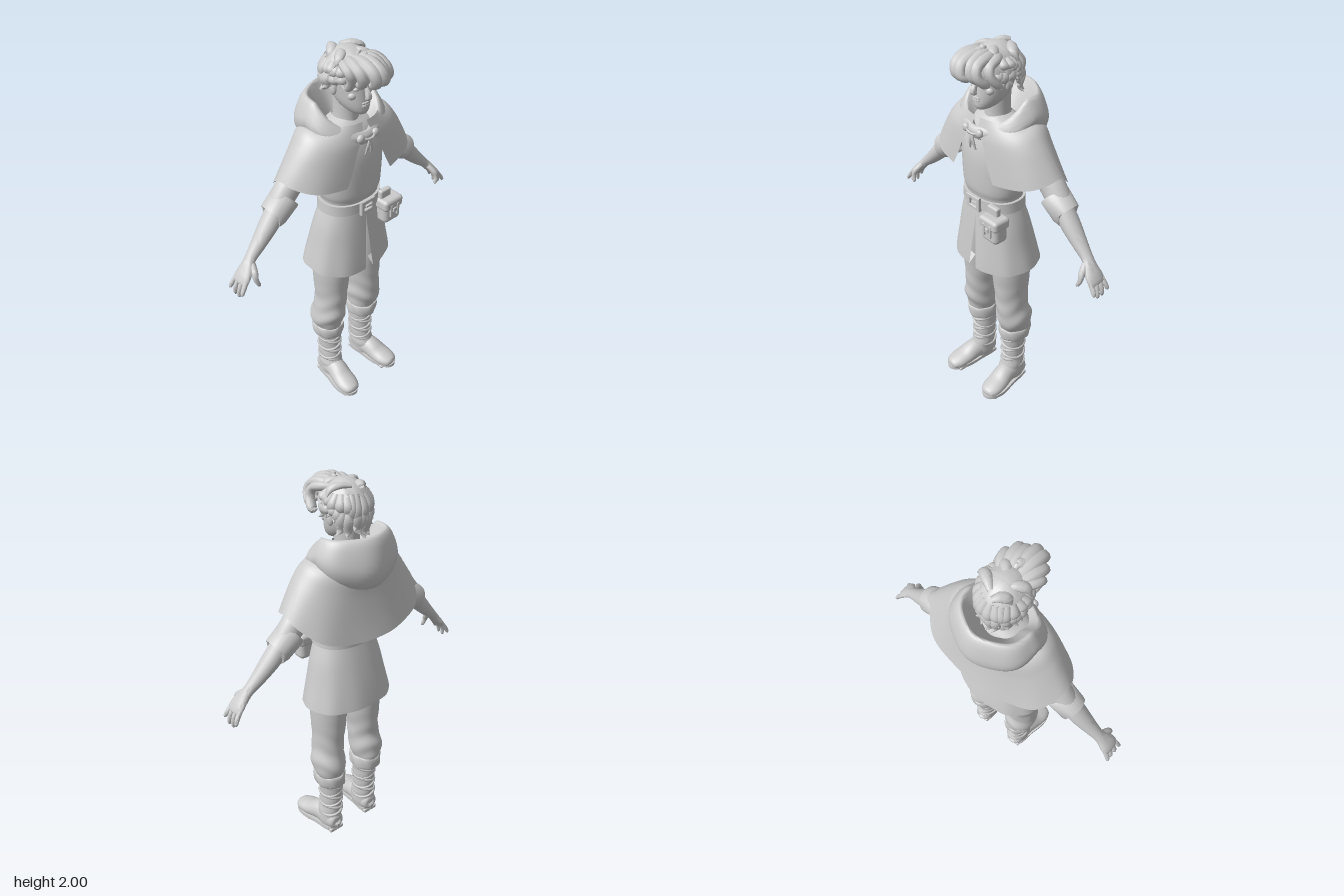
import * as THREE from 'three';
import { toCreasedNormals } from 'three/addons/utils/BufferGeometryUtils.js';
import { RoundedBoxGeometry } from 'three/addons/geometries/RoundedBoxGeometry.js';
import { ParametricGeometry } from 'three/addons/geometries/ParametricGeometry.js';

const clay = new THREE.MeshStandardMaterial({ color: 0xcccccc, side: THREE.DoubleSide });
clay.name = 'light grey';

// Smooth interpolation of number rows, t in 0..1
function sample(rows, t) {
  const n = rows.length - 1, f = Math.min(Math.max(t, 0), 1) * n;
  const i = Math.min(Math.floor(f), n - 1), k = f - i;
  const p = rows[Math.max(i - 1, 0)], a = rows[i], b = rows[i + 1], q = rows[Math.min(i + 2, n)];
  return a.map((v, j) => v + 0.5 * k * (b[j] - p[j]
    + k * (2 * p[j] - 5 * v + 4 * b[j] - q[j] + k * (3 * (v - b[j]) + q[j] - p[j]))));
}
const bend = (v, p) => Math.sign(v) * Math.abs(v) ** p;
const surface = (fn, n, m, crease = 0.9) => {
  const g = new ParametricGeometry(fn, n, m);
  g.deleteAttribute('uv');
  return toCreasedNormals(g, crease);
};

// Upright loft, rows bottom to top: [yFront, ySide, yBack, centreX, radiusX, zFront, zBack, gap]
const row = (y, cx, rx, zf, zb, gap = 0) => [y, y, y, cx, rx, zf, zb, gap];
function loft(rows, { n = 40, m = rows.length * 4, pow = 1, ripple = () => 0 } = {}) {
  return surface((u, v, out) => {
    const [yf, ys, yb, cx, rx, zf, zb, gap] = sample(rows, v);
    const a = gap + u * (2 * Math.PI - 2 * gap), c = Math.cos(a);
    const y = ys + (c > 0 ? (yf - ys) * c : (ys - yb) * c);
    const k = 1 + ripple(a, y);
    out.set(cx + rx * k * bend(Math.sin(a), pow), y, (zf + zb) / 2 + (zf - zb) / 2 * k * bend(c, pow));
  }, n, m);
}

// Tapered limb along a path, rows: [x, y, z, radius along ref, radius across]
const X = new THREE.Vector3(1, 0, 0), Z = new THREE.Vector3(0, 0, 1);
function limb(rows, ref = Z, n = 14, m = rows.length * 4) {
  return surface((u, v, out) => {
    const s = sample(rows, v), p = sample(rows, v - 0.01), q = sample(rows, v + 0.01);
    const T = new THREE.Vector3(q[0] - p[0], q[1] - p[1], q[2] - p[2]).normalize();
    const A = ref.clone().addScaledVector(T, -ref.dot(T)).normalize();
    const B = T.clone().cross(A), a = u * 2 * Math.PI;
    out.set(s[0], s[1], s[2]).addScaledVector(A, s[3] * Math.cos(a)).addScaledVector(B, s[4] * Math.sin(a));
  }, n, m, 1.1);
}
// Pointed strand: thick at the root, tip closed
const strand = (pts, r, flat = 0.6, ref = X, tip = 0.05) => limb(pts.map((p, i) => {
  const k = i === 0 ? 0.6 : i === pts.length - 1 ? tip : 1 - 0.3 * i / pts.length;
  return [...p, r * k, r * k * flat];
}), ref, 9);

export function createModel() {
  const model = new THREE.Group();
  model.name = 'cloakedTraveller';
  const add = (name, geometry, parent = model) => {
    const mesh = new THREE.Mesh(geometry, clay);
    mesh.name = name;
    parent.add(mesh);
    return mesh;
  };
  const group = name => {
    const g = new THREE.Group();
    g.name = name;
    model.add(g);
    return g;
  };
  const ball = (name, parent, r, pos, scale = [1, 1, 1]) => {
    const b = add(name, new THREE.SphereGeometry(r, 18, 12), parent);
    b.position.set(...pos);
    b.scale.set(...scale);
  };

  // Tunic, with a slit skirt
  add('tunicBody', loft([row(1.18, 0, .155, .13, -.095), row(1.25, 0, .155, .135, -.1), row(1.3, 0, .168, .145, -.11),
    row(1.45, 0, .18, .145, -.12), row(1.55, 0, .19, .125, -.12), row(1.62, 0, .14, .09, -.1), row(1.66, 0, .06, .05, -.07)], { pow: .9 }));
  add('tunicSkirt', loft([[.87, .89, .89, 0, .2, .13, -.14, .1], [.84, .86, .865, 0, .238, .168, -.175, .08],
    [.85, .87, .875, 0, .24, .172, -.177, .07], row(.98, 0, .215, .16, -.155, .04), row(1.1, 0, .19, .147, -.125, .012),
    row(1.19, 0, .162, .136, -.1)], { n: 56, pow: .87, ripple: (a, y) => .012 * Math.sin(9 * a) * (1.19 - y) * 3 }));

  // Belt, buckle and pouch
  const belt = group('belt');
  add('beltBand', loft([row(1.19, 0, .15, .12, -.09), row(1.19, 0, .172, .146, -.108),
    row(1.245, 0, .168, .146, -.108), row(1.245, 0, .15, .12, -.09)], { m: 3, pow: .9 }), belt);
  const frame = new THREE.Shape([[-.042, -.035], [.042, -.035], [.042, .035], [-.042, .035]].map(p => new THREE.Vector2(...p)));
  frame.holes.push(new THREE.Path([[-.026, -.02], [-.026, .02], [.026, .02], [.026, -.02]].map(p => new THREE.Vector2(...p))));
  add('buckleFrame', new THREE.ExtrudeGeometry(frame, { depth: .014, bevelSize: .003, bevelThickness: .003, bevelSegments: 1 }), belt)
    .position.set(-.003, 1.218, .143);
  add('bucklePin', new THREE.BoxGeometry(.045, .01, .012), belt).position.set(.01, 1.218, .154);
  const pouch = group('pouch');
  const block = (name, size, pos, r = .015) => add(name, new RoundedBoxGeometry(...size, 3, r), pouch).position.set(...pos);
  block('pouchBag', [.112, .13, .085], [.143, 1.135, .15], .025);
  block('pouchFlap', [.124, .06, .1], [.143, 1.178, .15], .018);
  block('pouchLoop', [.07, .07, .03], [.128, 1.215, .138], .01);
  for (const x of [.12, .165]) block('pouchStrap', [.014, .07, .012], [x, 1.145, .197], .004);
  block('pouchClasp', [.024, .026, .014], [.143, 1.147, .198], .004);

  // Cape, open at the front and longer at the back
  add('cape', loft([[1.38, 1.45, 1.28, 0, .383, .166, -.226, .3], [1.45, 1.51, 1.38, 0, .345, .16, -.205, .24],
    [1.55, 1.59, 1.5, 0, .29, .15, -.185, .17], [1.6, 1.65, 1.6, 0, .235, .142, -.175, .1],
    row(1.67, 0, .15, .12, -.15, .05)], { n: 64, pow: .82, ripple: (a, y) => .03 * Math.sin(8 * a + 1) * Math.max(0, 1.55 - y) * 2 }));
  // Lowered hood, rolled around the neck
  add('hood', loft([[1.56, 1.61, 1.55, 0, .15, .12, -.15, 0], [1.57, 1.63, 1.535, 0, .205, .142, -.205, 0],
    [1.6, 1.68, 1.62, 0, .222, .152, -.236, 0], [1.62, 1.735, 1.73, 0, .198, .145, -.215, 0],
    [1.63, 1.765, 1.775, 0, .17, .132, -.185, 0], [1.62, 1.735, 1.745, 0, .145, .12, -.16, 0],
    [1.57, 1.63, 1.62, 0, .085, .085, -.09, 0]], { n: 56, ripple: a => .02 * Math.sin(6 * a + 2) }));
  // Clasp and cord ends
  const clasp = group('clasp');
  for (const x of [-.05, .042]) ball('claspButton', clasp, .021, [x, 1.607, .148], [1, 1, .75]);
  add('claspCord', limb([[-.05, 1.607, .152, .006, .006], [0, 1.597, .162, .006, .006], [.042, 1.607, .152, .006, .006]]), clasp);
  for (const x of [-.022, .016])
    add('cordEnd', strand([[0, 1.6, .158], [x * .5, 1.56, .158], [x, 1.515, .15]], .011, .6, X, .5), clasp);

  // Head and face
  const head = group('head');
  add('neck', loft([row(1.58, 0, .075, .07, -.085), row(1.66, 0, .058, .06, -.07), row(1.79, 0, .058, .06, -.07)]), head);
  add('skull', loft([row(1.703, 0, .002, .1, .08), row(1.708, 0, .032, .122, .04), row(1.73, 0, .056, .131, -.02),
    row(1.765, 0, .073, .13, -.06), row(1.81, 0, .082, .125, -.085), row(1.84, 0, .086, .122, -.095), row(1.88, 0, .089, .13, -.1),
    row(1.93, 0, .083, .118, -.095), row(1.97, 0, .05, .075, -.06), row(1.985, 0, .001, .01, 0)]), head);
  add('nose', limb([[0, 1.855, .118, .007, .01], [0, 1.83, .13, .009, .013], [0, 1.799, .143, .015, .016],
    [0, 1.788, .134, .014, .008], [0, 1.786, .12, .001, .001]], X), head);
  for (const [name, y, r] of [['upperLip', 1.764, .006], ['lowerLip', 1.753, .007]])
    add(name, limb([[-.028, y, .114, .001, .001], [-.012, y + .001, .129, r, r], [.012, y + .001, .129, r, r], [.028, y, .114, .001, .001]]), head);
  for (const s of [1, -1]) {
    ball('eye', head, .016, [s * .036, 1.834, .105], [1.15, .6, .7]);
    add('brow', limb([[s * .012, 1.847, .127, .003, .003], [s * .035, 1.857, .122, .008, .006],
      [s * .055, 1.858, .104, .007, .005], [s * .07, 1.848, .085, .001, .001]]), head);
    ball('cheek', head, .025, [s * .045, 1.8, .089], [1, .8, .8]);
    ball('ear', head, .03, [s * .088, 1.822, .008], [.4, 1.1, .7]);
  }

  // Wavy hair: a cap, hanging locks and a forward sweep
  const hair = group('hair');
  add('hairCap', surface((u, v, out) => {
    const a = u * 2 * Math.PI, c = Math.cos(a);
    const hem = 1.86 + (c > 0 ? .05 : .1) * c;
    const y = hem + (1.997 - hem) * Math.sin(v * Math.PI / 2);
    const f = Math.sqrt(Math.max(0, 1 - ((y - 1.87) / .127) ** 2)) * (1 + .045 * Math.sin(9 * a + 9 * v) * (1 - v));
    out.set(.113 * f * Math.sin(a), y, .008 + f * c * (c > 0 ? .135 : .127));
  }, 60, 20), hair);
  for (let i = 0; i < 34; i++) {
    const layer = i % 2, a = .95 + (i / 33) * (2 * Math.PI - 1.9), c = Math.cos(a), s = Math.sin(a), w = .025 * Math.sin(i * 2.4);
    const top = 1.91 + layer * .035, end = (c > 0 ? 1.83 : 1.83 + .075 * c) + layer * .05 + w * .5;
    const at = (r, y, d) => [r * Math.sin(a + d), y, r * 1.08 * Math.cos(a + d)];
    add('hairLock', strand([at(.085, top, 0), at(.111, top * .55 + end * .45, w * 3), at(.1, end + .022, w * 5),
      at(.113 + .4 * Math.abs(w), end, w * 9)], .025, .6, new THREE.Vector3(c, 0, -s)), hair);
  }
  for (const [x, reach, drop, r] of [[-.095, .125, 1.845, .028], [-.07, .17, 1.87, .034], [-.035, .215, 1.875, .036], [0, .222, 1.885, .034],
    [.03, .195, 1.875, .035], [.06, .185, 1.86, .034], [.09, .135, 1.85, .03]])
    add('fringeLock', strand([[x * .5, 1.955, .03], [x * .85, 1.968 - x * x * 2, reach * .6], [x, 1.945 - x * x, reach * .93],
      [x + .012, 1.9, reach], [x + .025, drop, reach - .035], [x + .012, drop + .004, reach - .058]], r, .75), hair);
  for (const [x, z, l] of [[-.05, .02, -.1], [.03, .05, .09], [.06, -.03, .11], [-.03, -.06, -.08], [0, .1, -.05]])
    add('crownLock', strand([[x * .3, 1.975, z - .03], [x, 1.979, z], [x + l * .35, 1.965, z + .02], [x + l * .6, 1.93, z + .015]], .026, .6, Z), hair);

  for (const s of [1, -1]) {
    const side = s > 0 ? 'left' : 'right';
    const flip = rows => rows.map(([x, ...rest]) => [s * x, ...rest]);

    // Arm with rolled sleeve
    const arm = group(side + 'Arm');
    add('sleeve', limb(flip([[.15, 1.57, -.02, .07, .075], [.25, 1.495, -.03, .068, .072], [.3, 1.435, -.033, .067, .06],
      [.35, 1.38, -.033, .06, .062], [.41, 1.31, -.032, .058, .056]]), Z, 20), arm);
    add('sleeveCuff', limb(flip([[.355, 1.35, -.032, .05, .05], [.352, 1.352, -.032, .07, .062], [.36, 1.346, -.032, .075, .068],
      [.435, 1.287, -.03, .07, .066], [.446, 1.28, -.03, .063, .06], [.44, 1.285, -.03, .04, .04]]), Z, 22, 5), arm);
    add('forearm', limb(flip([[.41, 1.31, -.03, .05, .048], [.47, 1.245, -.026, .049, .044], [.54, 1.175, -.02, .038, .034],
      [.595, 1.125, -.014, .03, .025], [.625, 1.092, -.006, .04, .023], [.655, 1.058, -.002, .05, .02],
      [.674, 1.032, -.002, .044, .014], [.679, 1.026, -.002, .002, .002]]), Z, 20), arm);
    [[.038, .99], [.012, .967], [-.016, .965], [-.043, .985]].forEach(([z, tip], i) =>
      add('finger', limb(flip([[.655, 1.06, z * .9, .011, .011], [.68, 1.025, z, .012, .012], [.692, (1.025 + tip) / 2, z * 1.1, .0105, .0105],
        [.697 - i % 3 * .002, tip + .006, z * 1.15, .008, .008], [.697, tip, z * 1.15, .001, .001]]), Z, 9), arm));
    add('thumb', limb(flip([[.602, 1.112, .012, .014, .014], [.618, 1.08, .045, .017, .016], [.622, 1.05, .058, .012, .012],
      [.612, 1.022, .064, .009, .009], [.61, 1.015, .064, .001, .001]]), Z, 10), arm);

    // Trousers, bunched at the knee
    const leg = group(side + 'Leg');
    const up = rows => rows.map(([y, x, ...r]) => row(y, s * x, ...r));
    add('trouserLeg', loft(up([[.37, .128, .06, .055, -.075], [.41, .13, .075, .07, -.1], [.45, .133, .085, .083, -.107],
      [.5, .131, .088, .096, -.104], [.56, .125, .081, .097, -.088], [.63, .12, .08, .1, -.088], [.72, .116, .088, .105, -.094],
      [.82, .114, .094, .114, -.1], [.96, .108, .096, .114, -.1], [1.12, .08, .08, .09, -.08]]),
    { ripple: (a, y) => .035 * Math.sin(y * 55 + 2 * Math.sin(a * 2 + s)) * Math.max(0, Math.min(1, (.75 - y) * 5)) }), leg);
    // Boot: fur-like cuff, shaft, wrapped laces, foot and sole
    const boot = group(side + 'Boot');
    add('bootCuff', loft(up([[.35, .125, .055, .05, -.08], [.338, .126, .074, .07, -.1], [.36, .128, .082, .078, -.106],
      [.395, .129, .082, .08, -.107], [.412, .129, .075, .074, -.1], [.4, .129, .06, .06, -.08]]),
    { ripple: (a, y) => .035 * Math.sin(7 * a + y * 40) }), boot);
    add('bootShaft', loft(up([[.03, .125, .056, .07, -.074], [.1, .124, .06, .078, -.075], [.16, .12, .056, .056, -.074],
      [.25, .118, .058, .052, -.08], [.35, .122, .065, .058, -.085]]),
    { ripple: (a, y) => .03 * Math.sin(y * 90 + 2 * Math.sin(a)) }), boot);
    for (let i = 0; i < 6; i++) {
      const lace = add('bootLace', new THREE.TorusGeometry(.061, .0065, 6, 32), boot);
      lace.position.set(s * .12, .135 + i * .035, -.012);
      lace.rotation.set(Math.PI / 2, (i % 2 ? .3 : -.3), 0);
      lace.scale.set(1, 1.1, 1.2);
    }
    add('bootFoot', limb(flip([[.125, .06, -.079, .002, .002], [.125, .06, -.07, .042, .045], [.126, .068, -.01, .056, .062],
      [.133, .072, .06, .056, .06], [.143, .054, .125, .06, .046], [.15, .045, .18, .058, .036], [.154, .038, .22, .038, .025],
      [.155, .036, .23, .002, .002]]), X, 24), boot);
    const outline = [[.125, -.08], [.078, -.05], [.08, .04], [.085, .14], [.115, .215], [.155, .236], [.195, .21], [.21, .14], [.19, .04], [.175, -.05]];
    const curve = new THREE.SplineCurve([...outline, outline[0]].map(([x, z]) => new THREE.Vector2(s * x, -z)));
    const sole = add('bootSole', new THREE.ExtrudeGeometry(new THREE.Shape(curve.getPoints(40)), { depth: .02, bevelEnabled: false }), boot);
    sole.rotation.x = -Math.PI / 2;
    sole.position.y = .012;
    add('bootHeel', new RoundedBoxGeometry(.09, .026, .075, 2, .008), boot).position.set(s * .126, .013, -.036);
    add('bootTread', new RoundedBoxGeometry(.105, .02, .11, 2, .008), boot).position.set(s * .148, .01, .145);
  }
  return model;
}
